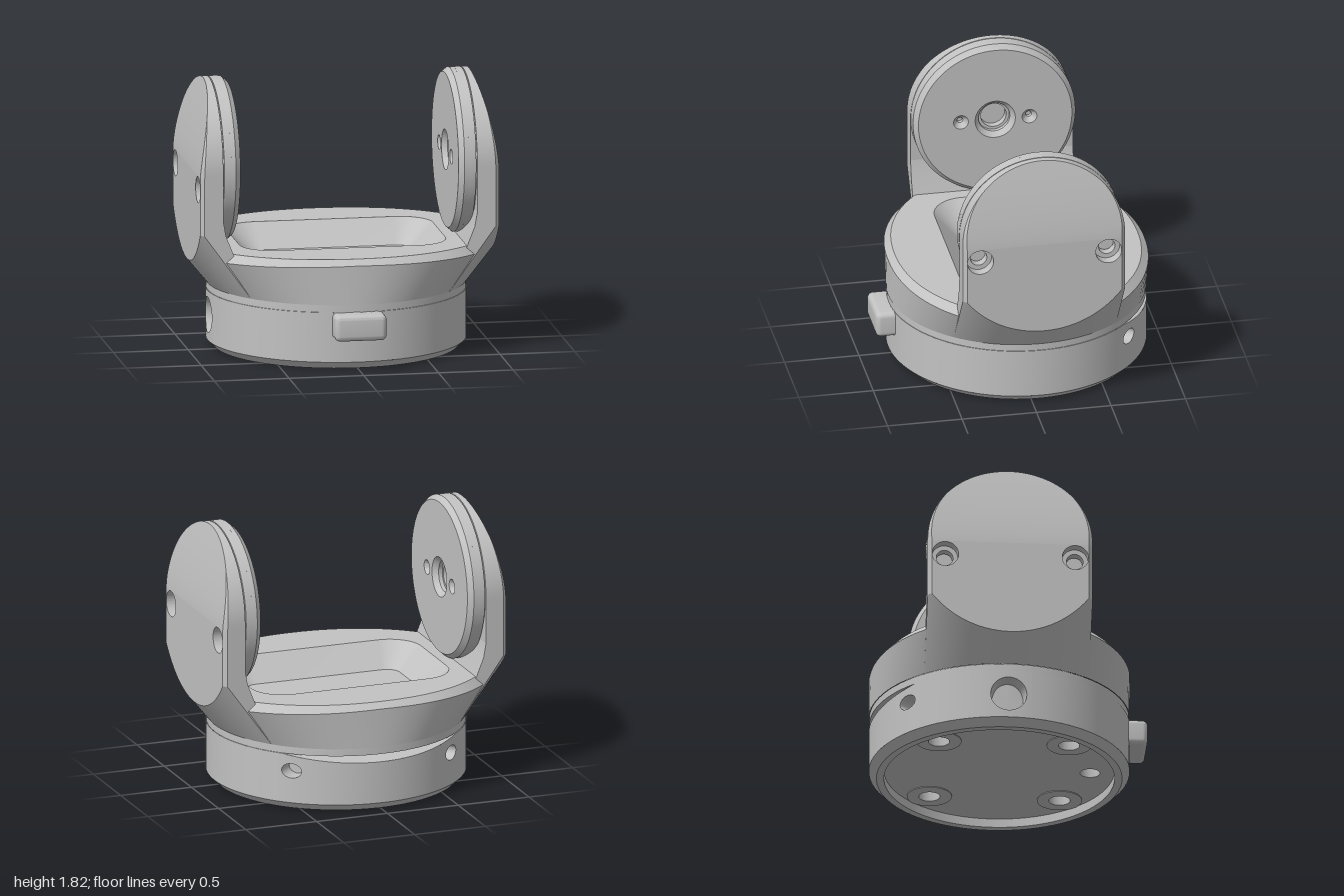
import * as THREE from 'three';
import { toCreasedNormals } from 'three/addons/utils/BufferGeometryUtils.js';
import { RoundedBoxGeometry } from 'three/addons/geometries/RoundedBoxGeometry.js';

const R = 0.86, HALF = 0.545, FACE = 0.52, SEAM = 0.435, SEG = 96, TAU = Math.PI * 2;
const grey = new THREE.MeshStandardMaterial({ color: 0xc2c2c2 });
grey.name = 'satin grey';

function add(parent, name, geometry, x = 0, y = 0, z = 0) {
  const mesh = new THREE.Mesh(toCreasedNormals(geometry, 0.45), grey);
  mesh.name = name;
  mesh.position.set(x, y, z);
  parent.add(mesh);
}

// Skin through rows of [x, y, z] points of equal length
function skin(rows) {
  const n = rows[0].length, index = [];
  for (let i = 0; i < rows.length - 1; i++) {
    for (let j = 0; j < n - 1; j++) {
      const a = i * n + j, b = a + 1, c = b + n, d = a + n;
      index.push(a, b, c, a, c, d);
    }
  }
  const g = new THREE.BufferGeometry();
  g.setAttribute('position', new THREE.Float32BufferAttribute(rows.flat(2), 3));
  g.setIndex(index);
  return g;
}

const range = (n, f) => Array.from({ length: n + 1 }, (_, i) => f(i / n, i));
const polar = (r, t, y) => [r * Math.cos(t), y, -r * Math.sin(t)];
const ring = (f) => range(SEG, (u) => f(u * TAU));

function disc(r, holes = []) {
  const s = new THREE.Shape().absarc(0, 0, r, 0, TAU);
  holes.forEach(([x, y, hr]) => s.holes.push(new THREE.Path().absarc(x, y, hr, 0, TAU, true)));
  return s;
}
const extrude = (shape, depth, bevel = {}) =>
  new THREE.ExtrudeGeometry(shape, { depth, curveSegments: 40, bevelEnabled: false, ...bevel });

// Top of the base, sloping down at the back
const baseTop = (r, t) => 0.385 - Math.max(0, r * Math.sin(t) - 0.6) * 0.2;

// Piece of the base wall with an oval hole drilled in it
function drilledWall({ t: t0, y: y0, rx, ry, w }) {
  const edge = (p) => {
    const m = 1 / Math.max(Math.abs(Math.cos(p)), Math.abs(Math.sin(p)));
    const t = t0 + Math.cos(p) * m * w, v = Math.sin(p) * m;
    return [t, v > 0 ? y0 + (baseTop(R, t) - y0) * v : y0 + (y0 - 0.05) * v];
  };
  const hole = (p) => [t0 + Math.cos(p) * rx / R, y0 + Math.sin(p) * ry];
  const loop = (f) => range(32, (u) => f(u * TAU));
  const rows = range(3, (k) => loop((p) => {
    const a = edge(p), b = hole(p);
    return polar(R, a[0] + (b[0] - a[0]) * k, a[1] + (b[1] - a[1]) * k);
  }));
  rows.push(loop((p) => polar(0.74, ...hole(p))), loop(() => polar(0.74, t0, y0)));
  return skin(rows);
}

function buildBase(root) {
  const base = new THREE.Group();
  base.name = 'base';
  root.add(base);
  const deg = Math.PI / 180;
  const holes = [
    { t: 49 * deg, y: 0.27, rx: 0.07, ry: 0.05, w: 0.11 },
    { t: 131 * deg, y: 0.27, rx: 0.07, ry: 0.05, w: 0.11 },
    { t: 180 * deg, y: 0.22, rx: 0.12, ry: 0.12, w: 0.18 },
  ];
  holes.forEach((h, i) => {
    add(base, 'drilledWall', drilledWall(h));
    const next = holes[(i + 1) % 3];
    const from = h.t + h.w, to = next.t - next.w + (i === 2 ? TAU : 0);
    const n = Math.ceil((to - from) / 0.06);
    const arc = (f) => range(n, (u) => f(from + (to - from) * u));
    add(base, 'baseWall', skin([arc((t) => polar(R, t, 0.05)), arc((t) => polar(R, t, baseTop(R, t)))]));
  });
  add(base, 'bottomRim', skin([[0.76, 0.08], [0.76, 0], [0.81, 0], [R, 0.05]]
    .map(([r, y]) => ring((t) => polar(r, t, y)))));
  add(base, 'baseTop', skin([R, 0.7].map((r) => ring((t) => polar(r, t, baseTop(r, t))))));
  add(base, 'neck', new THREE.CylinderGeometry(0.745, 0.745, 0.045, SEG), 0, 0.3675);
  add(base, 'collar', new THREE.CylinderGeometry(0.857, 0.857, SEAM - 0.386, SEG), 0, (SEAM + 0.386) / 2);

  // Recessed bottom plate with screw holes
  const corners = [[1, 1], [1, -1], [-1, 1], [-1, -1]].map(([a, b]) => [a * 0.43, b * 0.43, 0.07]);
  add(base, 'bottomPlate', extrude(disc(0.765, [...corners, [0, 0.6, 0.065]]), 0.08).rotateX(Math.PI / 2), 0, 0.14);
  add(base, 'holeFloor', new THREE.CylinderGeometry(0.69, 0.69, 0.02, 48), 0, 0.148);
  corners.forEach(([x, z, r]) =>
    add(base, 'screwBoss', extrude(disc(0.148, [[0, 0, r]]), 0.006).rotateX(Math.PI / 2), x, 0.06, z));

  add(base, 'button', new RoundedBoxGeometry(0.345, 0.175, 0.3, 4, 0.035), 0, 0.297, 0.82);
}

// Rounded rectangle ring, one corner per quarter
function roundedRing(hx, hz, r, y) {
  const q = SEG / 4;
  const pts = range(SEG - 1, (_, i) => {
    const k = Math.floor(i / q), t = (k + (i % q) / (q - 1)) * Math.PI / 2;
    const sx = k === 0 || k === 3 ? 1 : -1, sz = k < 2 ? -1 : 1;
    return [sx * (hx - r) + r * Math.cos(t), y, sz * (hz - r) - r * Math.sin(t)];
  });
  return [...pts, pts[0]];
}

// Body widening from a circle to an oval, with a sunken pocket on top
function buildBody(root) {
  const outline = (low, high, inset = 0) => ring((t) => {
    const c = Math.abs(Math.cos(t)), y = low + (high - low) * (1 - c);
    const x = Math.min(0.99, R * c + 0.82 * (y - SEAM) * c ** 0.75) * (1 - inset);
    return [Math.sign(Math.cos(t)) * x, y, -R * (1 - inset) * Math.sin(t)];
  });
  const top = outline(0.69, 0.69, 0.052).map(([x, , z]) => [x, 0.735, z]);
  add(root, 'bodyWithPocket', skin([
    outline(SEAM, SEAM), outline(0.675, 0.697), top,
    roundedRing(0.69, 0.457, 0.22, 0.735),
    roundedRing(0.535, 0.31, 0.09, 0.575),
    ring(() => [0, 0.575, 0]),
  ]));
}

function buildArm(root, name, turn) {
  const arm = new THREE.Group();
  arm.name = name;
  arm.rotation.y = turn;
  root.add(arm);

  // Foot flaring out of the body up to the flat, edge-chamfered outer face
  const cosAt = (z) => Math.sqrt(1 - (z / R) ** 2);
  const limit = (z) => 1 - Math.max(0, Math.abs(z) - FACE);
  const crease = (z) => SEAM + (limit(z) - R * cosAt(z)) / (0.82 * Math.sqrt(cosAt(z)));
  const across = [HALF, ...range(32, (u) => FACE - 2 * FACE * u), -HALF];
  const footRow = (xOut, yOut, xi) => {
    const outer = across.map((z) => [xOut(z), yOut(z), z]), y = yOut(HALF);
    return [...outer, [xi, y, -HALF], [xi, y, HALF], outer[0]];
  };
  add(arm, 'armFoot', skin([
    footRow((z) => R * cosAt(z), () => SEAM, 0.664),
    footRow(limit, crease, 0.833),
    footRow(limit, () => 0.96, 0.85),
  ]));

  // Flat middle with two screw holes
  const plate = new THREE.Shape([[-FACE, 0.96], [FACE, 0.96], [FACE, 1.25], [-FACE, 1.25]]
    .map(([a, b]) => new THREE.Vector2(a, b)));
  for (const z of [-0.43, 0.43]) {
    plate.holes.push(new THREE.Path().absarc(z, 1.158, 0.087, 0, TAU, true));
    add(arm, 'screwHead', extrude(disc(0.088, [[0, 0, 0.055]]), 0.06).rotateY(Math.PI / 2), 0.87, 1.158, z);
    // Chamfered edge strip beside the plate
    const s = Math.sign(z);
    const strip = [0.96, 1.25].map((y) => [[1, y, s * FACE], [0.975, y, s * HALF], [0.85, y, s * HALF], [0.85, y, s * FACE]]);
    add(arm, 'armEdge', skin(s > 0 ? strip.map((row) => row.reverse()) : strip));
  }
  add(arm, 'armPlate', extrude(plate, 0.15).rotateY(Math.PI / 2), 0.85);

  // Rounded top, thinning toward the tip while the chamfer fades out
  const section = (y, w, k) => {
    const x = 1 - 0.11 * Math.max(0, (y - 1.25) / 0.57) ** 1.35;
    return [[x - k, y, w], [x, y, w - k], [x, y, k - w], [x - k, y, -w], [0.85, y, -w], [0.85, y, w], [x - k, y, w]];
  };
  const chamfer = HALF - FACE;
  add(arm, 'armTop', skin([section(1.25, HALF, chamfer), ...range(28, (u) => {
    const a = u * Math.PI / 2;
    return section(1.275 + HALF * Math.sin(a), HALF * Math.cos(a), chamfer * Math.max(0, 1 - a / 0.7));
  })]));

  // Inner mounting disc with countersunk holes
  const face = disc(0.515, [[0, 0, 0.135], [0.23, 0, 0.05], [-0.23, 0, 0.05]]);
  const bevel = { bevelEnabled: true, bevelThickness: 0.035, bevelSize: 0.03, bevelSegments: 1 };
  add(arm, 'mountingDisc', extrude(face, 0.03, bevel).rotateY(Math.PI / 2), 0.765, 1.275);
  add(arm, 'discBacking', extrude(disc(HALF, [[0, 0, 0.085]]), 0.052).rotateY(Math.PI / 2), 0.791, 1.275);
  add(arm, 'discGroove', new THREE.CylinderGeometry(0.53, 0.53, 0.02, 80).rotateZ(Math.PI / 2), 0.849, 1.275);
}

export function createModel() {
  const model = new THREE.Group();
  model.name = 'swivelYoke';
  const root = new THREE.Group();
  root.name = 'yoke';
  root.position.z = -0.055;
  model.add(root);
  buildBase(root);
  buildBody(root);
  buildArm(root, 'leftArm', 0);
  buildArm(root, 'rightArm', Math.PI);
  return model;
}
